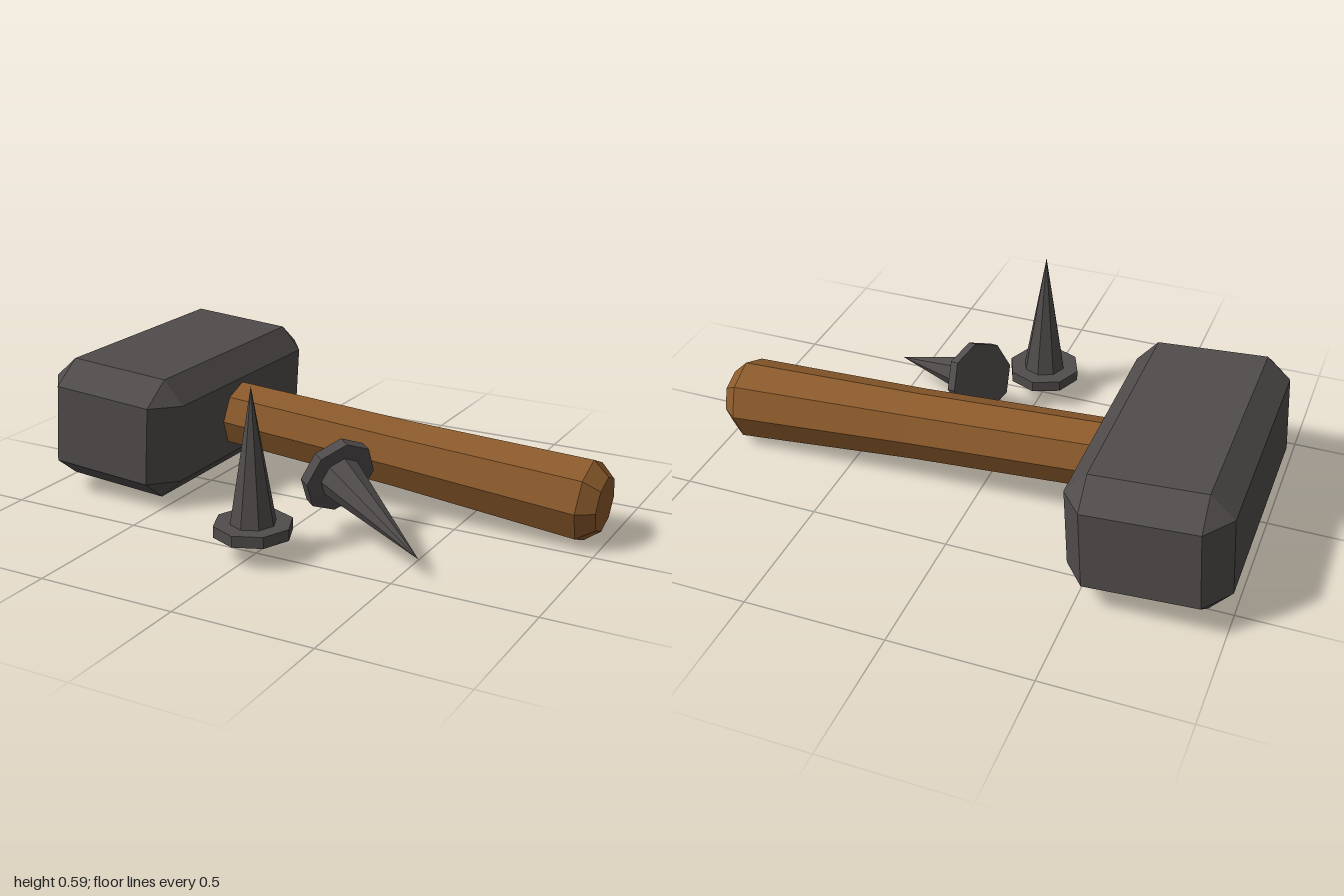
import * as THREE from 'three';
import { ConvexGeometry } from 'three/addons/geometries/ConvexGeometry.js';

const SIDES = 8;

// Box with every edge bevelled: H = outer half sizes, h = half sizes of the flat faces
function bevelledBox(H, h) {
  const points = [];
  for (const sx of [-1, 1]) for (const sy of [-1, 1]) for (const sz of [-1, 1]) {
    for (let axis = 0; axis < 3; axis++) {
      const p = h.map((v, i) => (i === axis ? H[i] : v));
      points.push(new THREE.Vector3(p[0] * sx, p[1] * sy, p[2] * sz));
    }
  }
  return new ConvexGeometry(points);
}

function part(name, geometry, material) {
  const mesh = new THREE.Mesh(geometry, material);
  mesh.name = name;
  return mesh;
}

// Spike standing on its flat octagonal head, pointing up +y
function makeSpike(name, metal) {
  const spike = new THREE.Group();
  spike.name = name;
  const cap = part('spikeHead', new THREE.CylinderGeometry(0.136, 0.136, 0.04, SIDES), metal);
  cap.position.y = 0.02;
  const point = part('spikePoint', new THREE.ConeGeometry(0.079, 0.47, SIDES), metal);
  point.position.y = 0.04 + 0.235;
  spike.add(cap, point);
  return spike;
}

export function createModel() {
  const metal = new THREE.MeshStandardMaterial({ color: 0x504c4b });
  metal.name = 'dark iron';
  metal.flatShading = true;
  const wood = new THREE.MeshStandardMaterial({ color: 0x8b5a2b });
  wood.name = 'brown wood';
  wood.flatShading = true;

  const model = new THREE.Group();
  model.name = 'hammerAndSpikes';

  // Hammer lying on the ground, tipped down towards the handle end
  const hammer = new THREE.Group();
  hammer.name = 'hammer';
  hammer.position.set(-0.714, 0.262, -0.125);
  hammer.rotation.z = -0.068;
  const head = part('hammerHead', bevelledBox([0.275, 0.224, 0.517], [0.195, 0.143, 0.414]), metal);
  head.position.z = -0.013;

  // Handle flares slightly and ends in a bevelled butt
  const profile = [[0, 0.1], [0.123, 0.1], [0.129, 0.97], [0.148, 1.652], [0.1, 1.709], [0, 1.709]];
  const handle = part('handle', new THREE.LatheGeometry(
    profile.map(([r, y]) => new THREE.Vector2(r, y)), SIDES), wood);
  handle.rotation.z = -Math.PI / 2;
  hammer.add(head, handle);

  // One spike upright, one tipped over onto its point
  const standing = makeSpike('standingSpike', metal);
  standing.position.set(0, 0.08, 0.515);
  const fallen = makeSpike('fallenSpike', metal);
  fallen.position.set(0.136, 0.219, 0.2);
  fallen.rotation.set(0, -0.501, -(Math.PI / 2 + 0.287));

  model.add(hammer, standing, fallen);
  return model;
}
